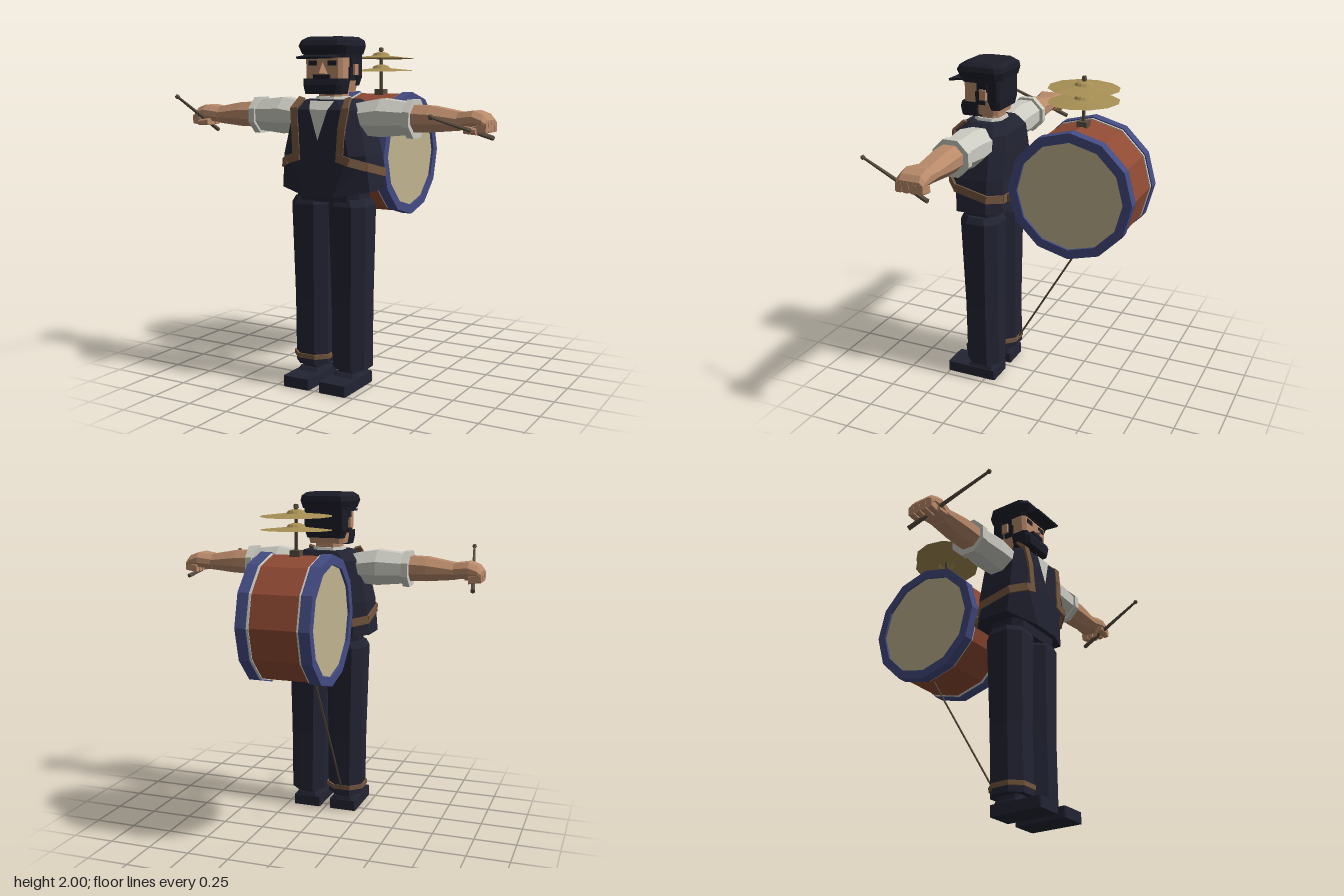
import * as THREE from 'three';

const V = (x, y, z) => new THREE.Vector3(x, y, z);

// Faceted normals for a low-poly look
function flat(geo) {
  const g = geo.index ? geo.toNonIndexed() : geo;
  g.computeVertexNormals();
  return g;
}

// Chamfered rectangular cross-section at height y, counter-clockwise from above
function ring(y, x0, x1, z0, z1, c) {
  return [[x1, z1 - c], [x1, z0 + c], [x1 - c, z0], [x0 + c, z0],
    [x0, z0 + c], [x0, z1 - c], [x0 + c, z1], [x1 - c, z1]].map(([x, z]) => V(x, y, z));
}

// Capped skin through a stack of cross-sections
function loft(rings) {
  const n = rings[0].length, idx = [], last = (rings.length - 1) * n;
  for (let i = 0; i < rings.length - 1; i++) for (let j = 0; j < n; j++) {
    const a = i * n + j, b = i * n + (j + 1) % n;
    idx.push(a, b, b + n, a, b + n, a + n);
  }
  for (let j = 1; j < n - 1; j++) idx.push(0, j + 1, j, last, last + j, last + j + 1);
  const g = new THREE.BufferGeometry().setFromPoints(rings.flat());
  g.setIndex(idx);
  return flat(g);
}

export function createModel() {
  const root = new THREE.Group();
  const mat = (name, color) => new THREE.MeshStandardMaterial({ name, color });
  const navy = mat('navy cloth', 0x232433), skin = mat('skin', 0xb98a6a), white = mat('white cloth', 0xcbcbc2);
  const leather = mat('leather', 0x75573f), red = mat('drum red', 0x8f4a33), blue = mat('hoop blue', 0x444b82);
  const hide = mat('drum skin', 0xc0b48f), brass = mat('brass', 0xa89055), metal = mat('dark metal', 0x5a4e40);
  const black = mat('hair black', 0x1c1d28);
  brass.side = THREE.DoubleSide;
  white.side = THREE.DoubleSide;

  const add = (name, geo, m) => {
    const mesh = new THREE.Mesh(geo, m);
    mesh.name = name;
    root.add(mesh);
    return mesh;
  };
  // Box given by its limits
  const box = (name, m, x0, x1, y0, y1, z0, z1) => add(name,
    new THREE.BoxGeometry(x1 - x0, y1 - y0, z1 - z0).translate((x0 + x1) / 2, (y0 + y1) / 2, (z0 + z1) / 2), m);
  // Geometry lying along z, aimed from a to b
  const aim = (name, m, geo, a, b, up = V(0, 1, 0)) => {
    const mesh = add(name, geo, m);
    mesh.position.copy(a).lerp(b, 0.5);
    mesh.up.copy(up);
    mesh.lookAt(b);
    return mesh;
  };
  const bar = (name, m, a, b, w, h, up) => aim(name, m, new THREE.BoxGeometry(w, h, a.distanceTo(b) + 0.008), a, b, up);
  const rod = (name, m, a, b, r0, r1) => aim(name, m,
    flat(new THREE.CylinderGeometry(r1, r0, a.distanceTo(b), 6).rotateX(Math.PI / 2)), a, b);

  // Legs and shoes
  for (const s of [1, -1]) {
    const r = (y, a, b, z0, z1, c) => s > 0 ? ring(y, a, b, z0, z1, c) : ring(y, -b, -a, z0, z1, c);
    add('trouserLeg', loft([r(0.11, 0.015, 0.23, 0.165, 0.385, 0.06), r(0.5, 0.012, 0.233, 0.165, 0.385, 0.06),
      r(1.06, 0.002, 0.243, 0.155, 0.4, 0.06), r(1.1, 0.012, 0.225, 0.17, 0.385, 0.06)]), navy);
    add('ankle', loft([r(0.06, 0.06, 0.18, 0.2, 0.35, 0.02), r(0.12, 0.06, 0.18, 0.2, 0.35, 0.02)]), navy);
    const xs = s > 0 ? [0.033, 0.205] : [-0.205, -0.035];
    add('shoe', loft([ring(0, xs[0], xs[1], 0.185, 0.51, 0.006), ring(0.065, xs[0], xs[1], 0.185, 0.51, 0.006)]), navy);
    add('shoeHeel', loft([r(0.06, 0.04, 0.2, 0.188, 0.38, 0.02), r(0.085, 0.05, 0.19, 0.195, 0.36, 0.02)]), navy);
  }
  add('hips', loft([ring(1.08, -0.2, 0.2, 0.17, 0.39, 0.05), ring(1.2, -0.21, 0.21, 0.16, 0.4, 0.05)]), navy);

  // Waistcoat with a dipped front hem
  const hem = ring(1.15, -0.285, 0.285, 0.105, 0.45, 0.08);
  hem[6].set(-0.09, 1.115, 0.45);
  hem[7].set(0.09, 1.115, 0.45);
  add('waistcoat', loft([hem, ring(1.35, -0.265, 0.265, 0.11, 0.45, 0.07), ring(1.5, -0.23, 0.23, 0.11, 0.445, 0.07),
    ring(1.6, -0.2, 0.2, 0.115, 0.435, 0.06), ring(1.655, -0.14, 0.14, 0.14, 0.385, 0.05)]), navy);
  const front = new THREE.BufferGeometry().setFromPoints([V(0, 1.43, 0.453), V(0.058, 1.6, 0.441),
    V(-0.058, 1.6, 0.441), V(0.078, 1.648, 0.4), V(-0.078, 1.648, 0.4)]);
  front.setIndex([0, 1, 2, 2, 1, 3, 2, 3, 4]);
  add('shirtFront', flat(front), white);
  add('collar', loft([ring(1.62, -0.1, 0.1, 0.18, 0.375, 0.04), ring(1.672, -0.088, 0.088, 0.19, 0.35, 0.04)]), white);

  // Harness straps
  for (const s of [1, -1]) {
    const out = V(0, 0, 1);
    bar('shoulderStrap', leather, V(s * 0.165, 1.605, 0.43), V(s * 0.15, 1.5, 0.445), 0.045, 0.014, out);
    bar('shoulderStrap', leather, V(s * 0.15, 1.5, 0.445), V(s * 0.14, 1.34, 0.45), 0.045, 0.014, out);
    bar('shoulderStrap', leather, V(s * 0.165, 1.605, 0.43), V(s * 0.15, 1.66, 0.37), 0.04, 0.014, out);
    const path = [V(s * 0.125, 1.34, 0.452), V(s * 0.2, 1.318, 0.452), V(s * 0.272, 1.29, 0.38),
      V(s * 0.277, 1.245, 0.18), V(s * 0.2, 1.232, 0.108), V(s * 0.1, 1.23, 0.106)];
    for (let i = 0; i < path.length - 1; i++) bar('sideStrap', leather, path[i], path[i + 1], 0.014, 0.048);
    box('drumBracket', leather, s > 0 ? 0.11 : -0.16, s > 0 ? 0.16 : -0.11, 1.21, 1.255, 0.0, 0.125);
  }

  // Arms
  for (const s of [1, -1]) {
    const r = (x, y0, y1, z0, z1, c) => s > 0 ? ring(x, -y1, -y0, z0, z1, c) : ring(x, y0, y1, z0, z1, c);
    const limb = (name, m, rows) => add(name, loft(rows.map(a => r(...a))).rotateZ(-s * Math.PI / 2), m);
    limb('sleeve', white, [[0.12, 1.48, 1.625, 0.19, 0.35, 0.045], [0.19, 1.46, 1.64, 0.17, 0.37, 0.06],
      [0.32, 1.452, 1.663, 0.16, 0.375, 0.065], [0.485, 1.468, 1.645, 0.175, 0.362, 0.055]]);
    limb('cuff', white, [[0.48, 1.45, 1.66, 0.157, 0.375, 0.065], [0.52, 1.45, 1.66, 0.157, 0.375, 0.065]]);
    limb('forearm', skin, [[0.5, 1.485, 1.632, 0.188, 0.352, 0.045], [0.62, 1.487, 1.628, 0.188, 0.352, 0.045],
      [0.79, 1.502, 1.598, 0.2, 0.342, 0.035]]);
    limb('hand', skin, [[0.78, 1.505, 1.598, 0.2, 0.342, 0.03], [0.87, 1.515, 1.61, 0.183, 0.358, 0.03],
      [0.925, 1.51, 1.59, 0.185, 0.357, 0.03], [0.948, 1.505, 1.56, 0.19, 0.35, 0.02]]);
    for (let i = 0; i < 4; i++) {
      const z = 0.19 + i * 0.042;
      limb('finger', skin, [[0.875, 1.485, 1.53, z, z + 0.036, 0.006], [0.95, 1.495, 1.55, z, z + 0.036, 0.006]]);
    }
    limb('thumb', skin, [[0.83, 1.49, 1.53, 0.315, 0.365, 0.01], [0.9, 1.485, 1.52, 0.335, 0.37, 0.01]]);
    // Drumstick with a round tip
    const butt = s > 0 ? V(0.925, 1.46, 0.18) : V(-0.91, 1.45, 0.16);
    const tip = s > 0 ? V(0.778, 1.588, 0.655) : V(-0.826, 1.665, 0.64);
    rod('drumstick', metal, butt, tip, 0.014, 0.008);
    const bead = flat(new THREE.IcosahedronGeometry(0.015, 0));
    add('drumstickTip', bead, metal).position.copy(tip);
  }

  // Head
  add('neck', loft([ring(1.62, -0.075, 0.075, 0.2, 0.34, 0.03), ring(1.72, -0.075, 0.075, 0.2, 0.34, 0.03)]), skin);
  add('face', loft([ring(1.695, -0.105, 0.105, 0.19, 0.38, 0.02), ring(1.76, -0.118, 0.118, 0.18, 0.392, 0.02),
    ring(1.92, -0.12, 0.12, 0.175, 0.392, 0.02)]), skin);
  add('backHair', loft([ring(1.73, -0.115, 0.115, 0.168, 0.23, 0.015), ring(1.78, -0.13, 0.13, 0.16, 0.24, 0.015),
    ring(1.92, -0.13, 0.13, 0.16, 0.24, 0.015)]), black);
  add('beard', loft([ring(1.685, -0.112, 0.112, 0.29, 0.415, 0.02), ring(1.735, -0.122, 0.122, 0.29, 0.42, 0.02),
    ring(1.77, -0.125, 0.125, 0.285, 0.405, 0.015)]), black);
  box('moustache', black, -0.052, 0.052, 1.768, 1.792, 0.37, 0.412);
  for (const s of [1, -1]) {
    box('eye', black, s * 0.062 - 0.027, s * 0.062 + 0.027, 1.842, 1.87, 0.39, 0.397);
    box('sideburn', black, s * 0.122 - 0.007, s * 0.122 + 0.007, 1.76, 1.835, 0.25, 0.31);
    box('templeHair', black, s * 0.123 - 0.007, s * 0.123 + 0.007, 1.835, 1.91, 0.235, 0.3);
    box('ear', skin, s * 0.13 - 0.012, s * 0.13 + 0.012, 1.79, 1.85, 0.24, 0.28);
  }
  const nose = new THREE.BufferGeometry().setFromPoints([V(0, 1.86, 0.392), V(-0.035, 1.795, 0.39),
    V(0.035, 1.795, 0.39), V(0, 1.8, 0.432)]);
  nose.setIndex([0, 1, 3, 0, 3, 2, 1, 2, 3]);
  add('nose', flat(nose), skin);

  // Flat cap
  add('capBand', loft([ring(1.885, -0.13, 0.13, 0.16, 0.402, 0.025), ring(1.925, -0.138, 0.138, 0.155, 0.41, 0.03)]), black);
  add('capCrown', loft([ring(1.905, -0.14, 0.14, 0.15, 0.41, 0.03), ring(1.95, -0.156, 0.156, 0.138, 0.432, 0.04),
    ring(1.98, -0.15, 0.15, 0.142, 0.415, 0.04), ring(2.0, -0.125, 0.125, 0.165, 0.385, 0.04)]), black);
  bar('capPeak', black, V(0, 1.897, 0.38), V(0, 1.884, 0.485), 0.22, 0.012);

  // Bass drum, its axis along x
  const Y = 1.31, Z = -0.305;
  const drum = (name, m, geo, x) => add(name, flat(geo.rotateZ(-Math.PI / 2).translate(x, Y, Z)), m);
  const disc = (r, w) => new THREE.CylinderGeometry(r, r, w, 12);
  drum('drumShell', red, disc(0.363, 0.3), 0);
  drum('drumHeads', hide, disc(0.335, 0.4), 0);
  const hoop = [[0.32, -0.032], [0.375, -0.032], [0.375, 0.032], [0.32, 0.032], [0.32, -0.032]]
    .map(([r, h]) => new THREE.Vector2(r, h));
  for (const s of [1, -1]) {
    drum('drumHoop', blue, new THREE.LatheGeometry(hoop, 12), s * 0.183);
    drum('drumTrim', white, disc(0.368, 0.016), s * 0.146);
  }

  // Cymbal stand
  box('standFoot', metal, -0.03, 0.03, 1.66, 1.7, Z - 0.03, Z + 0.03);
  box('standRod', metal, -0.008, 0.008, 1.68, 1.955, Z - 0.008, Z + 0.008);
  const profile = [[0.205, 0], [0.055, 0.016], [0.045, 0.03], [0.02, 0.038], [0.008, 0.038]]
    .map(([r, h]) => new THREE.Vector2(r, h));
  for (const [y, tilt] of [[1.812, 0.02], [1.888, -0.02]]) {
    const cymbal = add('cymbal', flat(new THREE.LatheGeometry(profile, 12)), brass);
    cymbal.position.set(0, y, Z);
    cymbal.rotation.x = tilt;
  }
  add('wingNut', flat(new THREE.CylinderGeometry(0.013, 0.016, 0.02, 6).translate(0, 1.942, Z)), metal);

  // Ankle strap and pull cord
  add('ankleStrap', loft([ring(0.145, -0.24, -0.005, 0.158, 0.393, 0.062),
    ring(0.172, -0.24, -0.005, 0.158, 0.393, 0.062)]), leather);
  rod('pullCord', metal, V(-0.12, 0.165, 0.16), V(-0.11, 0.96, Z), 0.006, 0.006);

  return root;
}
